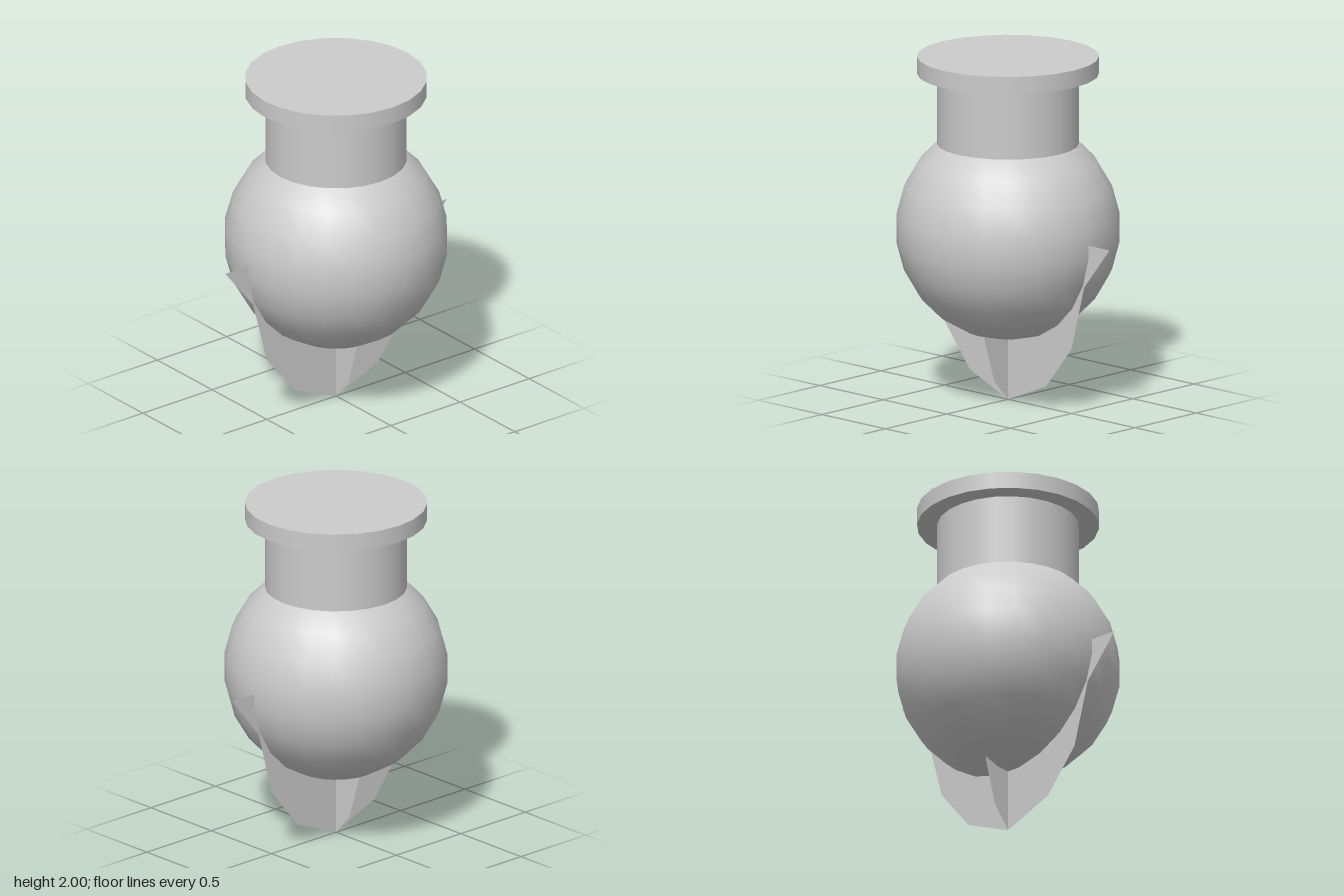
import * as THREE from 'three';

const SIDES = 24;

export function createModel() {
  const group = new THREE.Group();
  const grey = new THREE.MeshStandardMaterial({ color: 0xcccccc });
  const thin = new THREE.MeshStandardMaterial({ color: 0xcccccc, side: THREE.DoubleSide });

  const add = (name, geometry, material, y = 0) => {
    const mesh = new THREE.Mesh(geometry, material);
    mesh.name = name;
    mesh.position.y = y;
    group.add(mesh);
    return mesh;
  };

  // Round body: rings every 15 degrees, with small flat ends at the poles
  const radius = 0.638;
  const profile = [new THREE.Vector2(0, -radius * Math.cos(Math.PI / 24))];
  for (let i = 0; i < 12; i++) {
    const a = (i + 0.5) * Math.PI / 12;
    profile.push(new THREE.Vector2(radius * Math.sin(a), -radius * Math.cos(a)));
  }
  profile.push(new THREE.Vector2(0, -profile[0].y));
  add('body', new THREE.LatheGeometry(profile, SIDES), grey, 1);

  // Neck, sunk into the body, and the rim on top
  add('neck', new THREE.CylinderGeometry(0.403, 0.403, 0.5, SIDES), grey, 1.65);
  add('rim', new THREE.CylinderGeometry(0.517, 0.517, 0.1, SIDES), grey, 1.95);

  // Two crossed flat fins below the body, mirrored about the centre line
  const fin = (points) => {
    const mirrored = points.slice(1).reverse().map(([x, y]) => [-x, y]);
    const outline = [...points, ...mirrored].map(([x, y]) => new THREE.Vector2(x, y));
    return new THREE.ShapeGeometry(new THREE.Shape(outline));
  };
  add('wideFin', fin([[0, 0], [0.3, 0.125], [0.5, 0.375], [0.6, 0.75], [0.8, 1]]), thin);
  const narrow = add('narrowFin', fin([[0, 0], [0.113, 0.125], [0.19, 0.375], [0.225, 0.75], [0.3, 1]]), thin);
  narrow.rotation.y = Math.PI / 2;

  return group;
}
